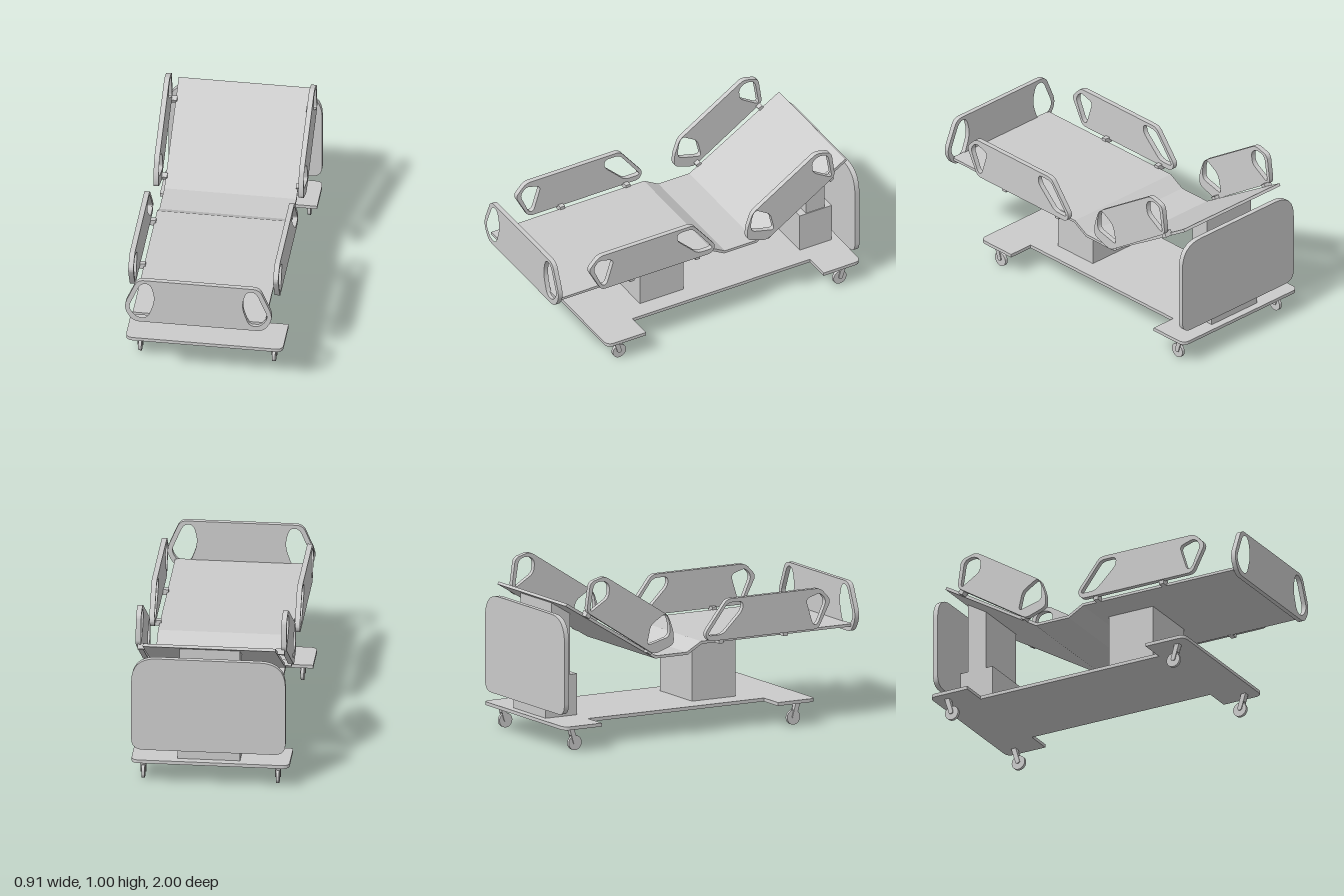
import * as THREE from 'three';
import { toCreasedNormals } from 'three/addons/utils/BufferGeometryUtils.js';

const material = new THREE.MeshStandardMaterial({ color: 0xcccccc });
const CX = 0.009; // centre line of the bed above the base

// Polygon with rounded corners; each point is [x, y, optional radius]
function rounded(points, radius, path = new THREE.Shape()) {
  const n = points.length;
  points.forEach((p, i) => {
    const corner = new THREE.Vector2(p[0], p[1]);
    const r = p[2] ?? radius;
    const towards = (q) => {
      const d = new THREE.Vector2(q[0], q[1]).sub(corner);
      return d.setLength(Math.min(r, d.length() * 0.48)).add(corner);
    };
    const a = towards(points[(i + n - 1) % n]);
    const b = towards(points[(i + 1) % n]);
    if (i === 0) path.moveTo(a.x, a.y);
    else path.lineTo(a.x, a.y);
    if (r > 0) path.quadraticCurveTo(corner.x, corner.y, b.x, b.y);
  });
  path.closePath();
  return path;
}

// Flat plate with holes, extruded along z and centred on z = 0
function plate(points, radius, depth, holes = [], holeRadius = 0.03) {
  const shape = rounded(points, radius);
  for (const h of holes) shape.holes.push(rounded(h, holeRadius, new THREE.Path()));
  const geo = new THREE.ExtrudeGeometry(shape, { depth, bevelEnabled: false, curveSegments: 8 });
  return geo.translate(0, 0, -depth / 2);
}

// Side profile given as [z, y], extruded across x
const sidePlate = (...args) => plate(...args).rotateY(-Math.PI / 2);

const mirrorX = (points) => points.map(([x, y, r]) => [-x, y, r]);

function add(parent, name, geometry, x = 0, y = 0, z = 0) {
  const mesh = new THREE.Mesh(toCreasedNormals(geometry, 0.5), material);
  mesh.name = name;
  mesh.position.set(x, y, z);
  parent.add(mesh);
  return mesh;
}

function createCaster(dir) {
  const caster = new THREE.Group();
  caster.name = 'caster';
  add(caster, 'wheel', new THREE.CylinderGeometry(0.043, 0.043, 0.018, 32).rotateZ(Math.PI / 2), 0, 0.043, 0);
  // Slanted fork: two prongs joined by a block above the wheel
  const prong = [[-0.014, 0.04], [0.012, 0.034], [0.043, 0.136, 0], [0.013, 0.136, 0]];
  const block = [[0.002, 0.088], [0.028, 0.088], [0.043, 0.136], [0.013, 0.136]];
  const face = (pts) => (dir > 0 ? pts : pts.map(([z, y, r]) => [-z, y, r]).reverse());
  for (const s of [-1, 1]) add(caster, 'forkProng', sidePlate(face(prong), 0.012, 0.006), s * 0.013);
  add(caster, 'forkBlock', sidePlate(face(block), 0, 0.026));
  return caster;
}

export function createModel() {
  const bed = new THREE.Group();
  bed.name = 'adjustableBed';

  // Base: wide ends joined by a narrower middle
  const w = 0.457, m = 0.3, r = 0.045;
  const base = [
    [-w, -1, r], [w, -1, r], [w, -0.75], [m, -0.75], [m, 0.43], [w, 0.43],
    [w, 0.685, r], [-w, 0.685, r], [-w, 0.43], [-m, 0.43], [-m, -0.75], [-w, -0.75],
  ];
  add(bed, 'basePlate', plate(base, 0, 0.02).rotateX(Math.PI / 2), -0.002, 0.145, 0);

  // Casters
  for (const x of [-0.385, 0.393]) {
    for (const [z, dir] of [[0.575, 1], [-0.89, -1]]) {
      const caster = createCaster(dir);
      caster.position.set(x, 0, z);
      bed.add(caster);
    }
  }

  // Lift columns
  add(bed, 'frontColumn', new THREE.BoxGeometry(0.362, 0.385, 0.29), CX, 0.345, 0.172);
  add(bed, 'rearColumn', new THREE.BoxGeometry(0.362, 0.242, 0.212), CX, 0.275, -0.85);
  const upper = [[-0.912, 0.39], [-0.79, 0.39], [-0.79, 0.757], [-0.912, 0.831]];
  add(bed, 'rearColumnUpper', sidePlate(upper, 0, 0.35), CX);

  // Mattress deck: flat foot, dropped seat, raised back
  const deck = [
    [0.98, 0.548], [-0.035, 0.548], [-0.13, 0.494], [-0.335, 0.494], [-0.932, 0.859],
    [-0.942, 0.845], [-0.342, 0.478], [-0.125, 0.478], [-0.03, 0.532], [0.98, 0.532],
  ];
  add(bed, 'deck', sidePlate(deck, 0, 0.768), CX);

  // Footboard with two hand holes
  const footboard = [
    [-0.355, 0.79], [0.355, 0.79], [0.438, 0.595, 0.06], [0.38, 0.5], [-0.38, 0.5], [-0.438, 0.595, 0.06],
  ];
  const footHole = [
    [-0.335, 0.768, 0.04], [-0.278, 0.768, 0.04], [-0.25, 0.66, 0.06], [-0.295, 0.53, 0.04],
    [-0.36, 0.53, 0.04], [-0.408, 0.595, 0.04],
  ];
  add(bed, 'footboard', plate(footboard, 0.04, 0.028, [footHole, mirrorX(footHole)], 0.04), CX, 0, 0.986);

  // Headboard
  const headboard = [
    [-0.446, 0.215, 0.07], [0.446, 0.215, 0.07], [0.446, 0.79, 0.15], [-0.446, 0.79, 0.15],
  ];
  add(bed, 'headboard', plate(headboard, 0, 0.03), CX, 0, -0.973);

  // Side rails, as [z, y] outlines with hand holes
  const footRail = [[0.735, 0.79], [0.805, 0.715], [0.72, 0.553], [-0.015, 0.553], [-0.04, 0.6], [0.11, 0.79]];
  const footRailHoles = [
    [[0.775, 0.715], [0.735, 0.765], [0.637, 0.735], [0.685, 0.58], [0.715, 0.58]],
    [[0.215, 0.768], [0.115, 0.768], [-0.025, 0.585], [0.08, 0.585], [0.215, 0.715]],
  ];
  const headRail = [
    [-0.71, 1.007], [-0.808, 0.98], [-0.832, 0.808], [-0.38, 0.515], [-0.248, 0.56], [-0.25, 0.635], [-0.285, 0.735],
  ];
  const headRailHoles = [
    [[-0.678, 0.955], [-0.725, 0.985], [-0.785, 0.97], [-0.812, 0.802], [-0.685, 0.88]],
    [[-0.275, 0.69], [-0.3, 0.752], [-0.402, 0.69], [-0.43, 0.57], [-0.275, 0.61]],
  ];
  const tilt = Math.atan2(0.365, 0.597);
  for (const s of [-1, 1]) {
    const x = CX + s * 0.421;
    add(bed, 'footSideRail', sidePlate(footRail, 0.03, 0.03, footRailHoles), x);
    add(bed, 'headSideRail', sidePlate(headRail, 0.03, 0.03, headRailHoles), x);
    // Brackets from the deck edge to the rails
    for (const [z, y, a] of [[0.51, 0.548, 0], [0.075, 0.548, 0], [-0.4, 0.534, tilt], [-0.812, 0.787, tilt]]) {
      const bracket = add(bed, 'railBracket', new THREE.BoxGeometry(0.05, 0.034, 0.03), CX + s * 0.4, y, z);
      bracket.rotation.x = a;
    }
  }
  return bed;
}
